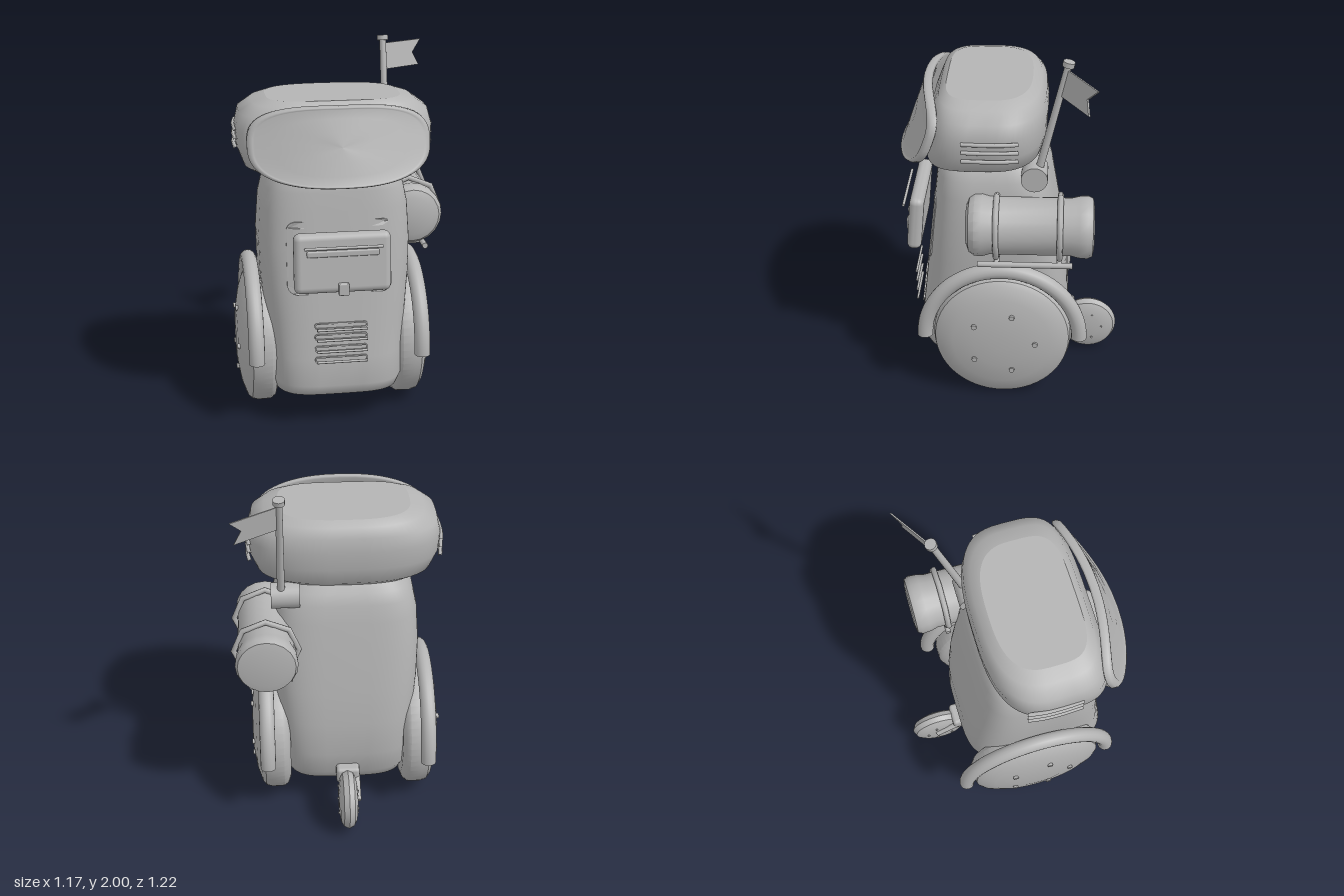
import * as THREE from 'three';
import { toCreasedNormals } from 'three/addons/utils/BufferGeometryUtils.js';
import { RoundedBoxGeometry } from 'three/addons/geometries/RoundedBoxGeometry.js';

const CX = -0.05; // middle of the symmetric chassis
const V = (x, y, z) => new THREE.Vector3(x, y, z);
const spow = (v, e) => Math.sign(v) * Math.pow(Math.abs(v), e);

// Skin over rings of points, with flat end caps on request
function loft(rings, capped) {
  const n = rings[0].length, pos = [], idx = [];
  rings.forEach(r => r.forEach(p => pos.push(p.x, p.y, p.z)));
  for (let i = 0; i < rings.length - 1; i++) {
    for (let j = 0; j < n; j++) {
      const k = (j + 1) % n, a = i * n + j, b = i * n + k;
      idx.push(a, a + n, b, a + n, b + n, b);
    }
  }
  if (capped) {
    [rings[0], rings[rings.length - 1]].forEach((r, end) => {
      const base = pos.length / 3, c = V(0, 0, 0);
      r.forEach(p => { pos.push(p.x, p.y, p.z); c.addScaledVector(p, 1 / n); });
      pos.push(c.x, c.y, c.z);
      for (let j = 0; j < n; j++) {
        const a = base + j, b = base + (j + 1) % n;
        idx.push(base + n, end ? b : a, end ? a : b);
      }
    });
  }
  const g = new THREE.BufferGeometry();
  g.setAttribute('position', new THREE.Float32BufferAttribute(pos, 3));
  g.setIndex(idx);
  g.computeVertexNormals();
  return g;
}

// Horizontal superellipse ring: [y, half width, back z, front z]
function section([y, hx, z0, z1], nBack, nFront) {
  return Array.from({ length: 64 }, (_, j) => {
    const p = j / 64 * Math.PI * 2, c = Math.cos(p), s = Math.sin(p);
    const e = 2 / (s < 0 ? nBack : nFront);
    return V(CX + hx * spow(c, e), y, (z0 + z1) / 2 + (z1 - z0) / 2 * spow(s, e));
  });
}

function roundRect(w, h, r, T = THREE.Shape) {
  const s = new T(), x = w / 2 - r, y = h / 2 - r;
  s.absarc(x, y, r, 0, Math.PI / 2);
  s.absarc(-x, y, r, Math.PI / 2, Math.PI);
  s.absarc(-x, -y, r, Math.PI, Math.PI * 1.5);
  s.absarc(x, -y, r, Math.PI * 1.5, Math.PI * 2);
  return s;
}

// Depth of the body's front surface
const frontZ = (x, y) => 0.525 - 0.118 * (y - 0.25) - 0.36 * (1 - Math.pow(1 - Math.pow(x / 0.4, 4), 0.25));

// Thin rounded frame that follows the body's front
function frame(w, h, r, border, cy) {
  const s = roundRect(w, h, r);
  s.holes.push(roundRect(w - border * 2, h - border * 2, Math.max(r - border, 0.004), THREE.Path));
  const g = new THREE.ExtrudeGeometry(s, { depth: 0.008, bevelEnabled: false, curveSegments: 6 });
  const p = g.attributes.position;
  for (let i = 0; i < p.count; i++) {
    const x = p.getX(i), y = p.getY(i) + cy;
    p.setXYZ(i, x + CX, y, p.getZ(i) + frontZ(x, y));
  }
  g.computeVertexNormals();
  return g;
}

function lathe(points, seg) {
  return toCreasedNormals(new THREE.LatheGeometry(points.map(p => new THREE.Vector2(...p)), seg), 0.6);
}

function rod(a, b, r, seg = 12, r2 = r) {
  const d = b.clone().sub(a), g = new THREE.CylinderGeometry(r2, r, d.length(), seg);
  g.applyQuaternion(new THREE.Quaternion().setFromUnitVectors(V(0, 1, 0), d.normalize()));
  const m = a.clone().add(b).multiplyScalar(0.5);
  return g.translate(m.x, m.y, m.z);
}

export function createModel() {
  const root = new THREE.Group();
  const grey = new THREE.MeshStandardMaterial({ color: 0xb4b4b4 });
  grey.name = 'grey';
  const add = (name, geo, parent = root) => {
    const m = new THREE.Mesh(geo, grey);
    m.name = name;
    parent.add(m);
    return m;
  };

  // Body and head
  add('body', loft([
    [0.17, 0.3, -0.2, 0.43], [0.185, 0.345, -0.25, 0.49], [0.25, 0.365, -0.29, 0.525],
    [0.4, 0.372, -0.325, 0.507], [0.6, 0.388, -0.315, 0.484], [0.8, 0.405, -0.29, 0.46],
    [1.0, 0.41, -0.255, 0.437], [1.2, 0.397, -0.22, 0.413], [1.3, 0.375, -0.195, 0.401],
    [1.36, 0.345, -0.17, 0.39], [1.42, 0.3, -0.12, 0.36],
  ].map(s => section(s, 4, 4)), true));
  add('head', loft([
    [1.37, 0.3, -0.05, 0.36], [1.385, 0.4, -0.12, 0.42], [1.43, 0.48, -0.17, 0.45],
    [1.52, 0.515, -0.19, 0.445], [1.62, 0.52, -0.195, 0.43], [1.7, 0.5, -0.185, 0.4],
    [1.75, 0.43, -0.155, 0.38], [1.775, 0.355, -0.11, 0.345],
  ].map(s => section(s, 2.8, 4)), true));

  // Curved, tilted visor with a raised lip: [scale, depth offset]
  add('visor', loft([
    [0, -0.05], [0.35, -0.05], [0.7, -0.05], [0.96, -0.05], [1, -0.038], [1, -0.012], [0.975, 0],
    [0.94, 0], [0.92, -0.007], [0.7, -0.007], [0.35, -0.007], [0, -0.007],
  ].map(([k, dz]) => Array.from({ length: 64 }, (_, j) => {
    const p = j / 64 * Math.PI * 2;
    const x = 0.475 * k * spow(Math.cos(p), 0.72), y = -0.197 * k * spow(Math.sin(p), 0.72);
    return V(CX + x, 1.574 + y, 0.54 - 0.36 * y - 0.11 * (x / 0.475) ** 2 + dz);
  }))));

  // Chest pocket
  add('pocketFrame', frame(0.56, 0.39, 0.05, 0.035, 0.955));
  const pocket = add('pocket', new RoundedBoxGeometry(0.51, 0.32, 0.08, 4, 0.035));
  pocket.position.set(CX, 0.96, 0.527);
  pocket.rotation.x = -0.09;
  add('pocketZip', rod(V(-0.255, 1.06, 0.592), V(0.155, 1.06, 0.592), 0.008));
  const flap = add('pocketFlap', new RoundedBoxGeometry(0.38, 0.035, 0.02, 3, 0.009));
  flap.position.set(CX, 1.02, 0.56);
  add('pocketLatch', new RoundedBoxGeometry(0.055, 0.065, 0.03, 3, 0.006)).position.set(CX, 0.832, 0.59);

  // Front vents
  for (const y of [0.4, 0.46, 0.525, 0.585]) {
    add('ventSlot', frame(0.285, 0.034, 0.015, 0.007, y));
    add('ventBar', rod(V(CX - 0.135, y, 0.545), V(CX + 0.135, y, 0.545), 0.007));
  }

  // Wheels, fenders and head vents on both sides
  const wheelGeo = lathe([[0, -0.08], [0.32, -0.08], [0.36, -0.065], [0.378, -0.04], [0.38, 0.03],
    [0.37, 0.065], [0.345, 0.085], [0.27, 0.112], [0.15, 0.133], [0.05, 0.138], [0, 0.138]], 56).rotateZ(-Math.PI / 2);
  const fenderGeo = new THREE.TorusGeometry(0.428, 0.043, 16, 48, Math.PI).rotateY(Math.PI / 2);
  const fenderEnd = new THREE.CircleGeometry(0.043, 16).rotateX(Math.PI / 2);
  for (const s of [-1, 1]) {
    const side = s < 0 ? 'right' : 'left';
    const g = new THREE.Group();
    g.name = side + 'Wheel';
    g.position.set(CX + s * 0.4, 0.38, 0.04);
    if (s < 0) g.rotation.y = Math.PI;
    root.add(g);
    add('tyre', wheelGeo, g);
    for (let i = 0; i < 5; i++) {
      const a = i * Math.PI * 0.4;
      const y = 0.185 * Math.sin(a), z = -s * 0.185 * Math.cos(a);
      add('bolt', rod(V(0.11, y, s * z), V(0.139, y, s * z), 0.015), g);
    }
    const f = add(side + 'Fender', fenderGeo);
    f.position.set(CX + s * 0.45, 0.38, 0.04);
    for (const e of [-1, 1]) add('fenderEnd', fenderEnd, f).position.z = e * 0.428;
    for (const y of [1.51, 1.558, 1.605]) {
      const path = new THREE.CatmullRomCurve3([
        V(CX + s * 0.509, y, -0.05), V(CX + s * 0.521, y, 0.04), V(CX + s * 0.523, y, 0.14), V(CX + s * 0.518, y, 0.24)]);
      add(side + 'HeadVent', new THREE.TubeGeometry(path, 12, 0.011, 8));
    }
  }

  // Rear caster wheel and its arm
  const caster = new THREE.Group();
  caster.name = 'caster';
  caster.position.set(-0.045, 0.173, -0.445);
  root.add(caster);
  add('casterTyre', lathe([[0, -0.055], [0.07, -0.053], [0.12, -0.045], [0.15, -0.03], [0.165, 0],
    [0.15, 0.03], [0.12, 0.045], [0.07, 0.053], [0, 0.055]], 40).rotateZ(-Math.PI / 2), caster);
  for (let i = 0; i < 5; i++) {
    const a = i * Math.PI * 0.4, y = 0.08 * Math.sin(a), z = -0.08 * Math.cos(a);
    add('casterBolt', rod(V(-0.058, y, z), V(0.058, y, z), 0.007, 8), caster);
  }
  add('casterArm', rod(V(-0.1, 0.3, -0.27), V(-0.1, 0.185, -0.47), 0.018));
  add('casterMount', new RoundedBoxGeometry(0.13, 0.1, 0.09, 3, 0.02)).position.set(CX, 0.27, -0.32);

  // Barrel with straps on a side rack
  const barrel = new THREE.Group();
  barrel.name = 'barrel';
  barrel.position.set(0.388, 1.09, 0);
  root.add(barrel);
  add('drum', lathe([[0, -0.45], [0.115, -0.45], [0.155, -0.442], [0.168, -0.415], [0.165, -0.37], [0.155, -0.33],
    [0.155, 0.1], [0.167, 0.14], [0.165, 0.18], [0.145, 0.21], [0.105, 0.226], [0, 0.226]], 20).rotateX(Math.PI / 2), barrel);
  for (const z of [-0.27, 0.065]) add('strap', new THREE.TorusGeometry(0.175, 0.016, 8, 8), barrel).position.z = z;
  add('rackRail', rod(V(0.47, 0.895, -0.34), V(0.47, 0.895, 0.165), 0.016));
  for (const z of [-0.27, 0.065]) {
    add('rackArm', rod(V(0.25, 0.895, z), V(0.47, 0.895, z), 0.015));
    add('rackPost', rod(V(0.42, 0.89, z), V(0.42, 0.95, z), 0.012));
  }

  // Flag on a leaning pole
  add('poleMount', rod(V(0.2, 1.345, -0.13), V(0.355, 1.345, -0.13), 0.07, 28));
  add('pole', rod(V(0.3, 1.36, -0.148), V(0.3, 1.98, -0.295), 0.021, 16, 0.018));
  add('poleKnob', rod(V(0.3, 1.968, -0.292), V(0.3, 1.995, -0.298), 0.031, 16));
  const flagShape = new THREE.Shape([[0, 0], [0.225, -0.005], [0.185, 0.068], [0.24, 0.135], [0, 0.142]]
    .map(p => new THREE.Vector2(...p)));
  const flag = new THREE.ExtrudeGeometry(flagShape, { depth: 0.009, bevelEnabled: false });
  flag.applyMatrix4(new THREE.Matrix4().set(
    1, 0, 0, 0.305,
    0, 1, 0, 1.81,
    -0.64, -0.23, 1, -0.262,
    0, 0, 0, 1));
  add('flag', flag);

  return root;
}
